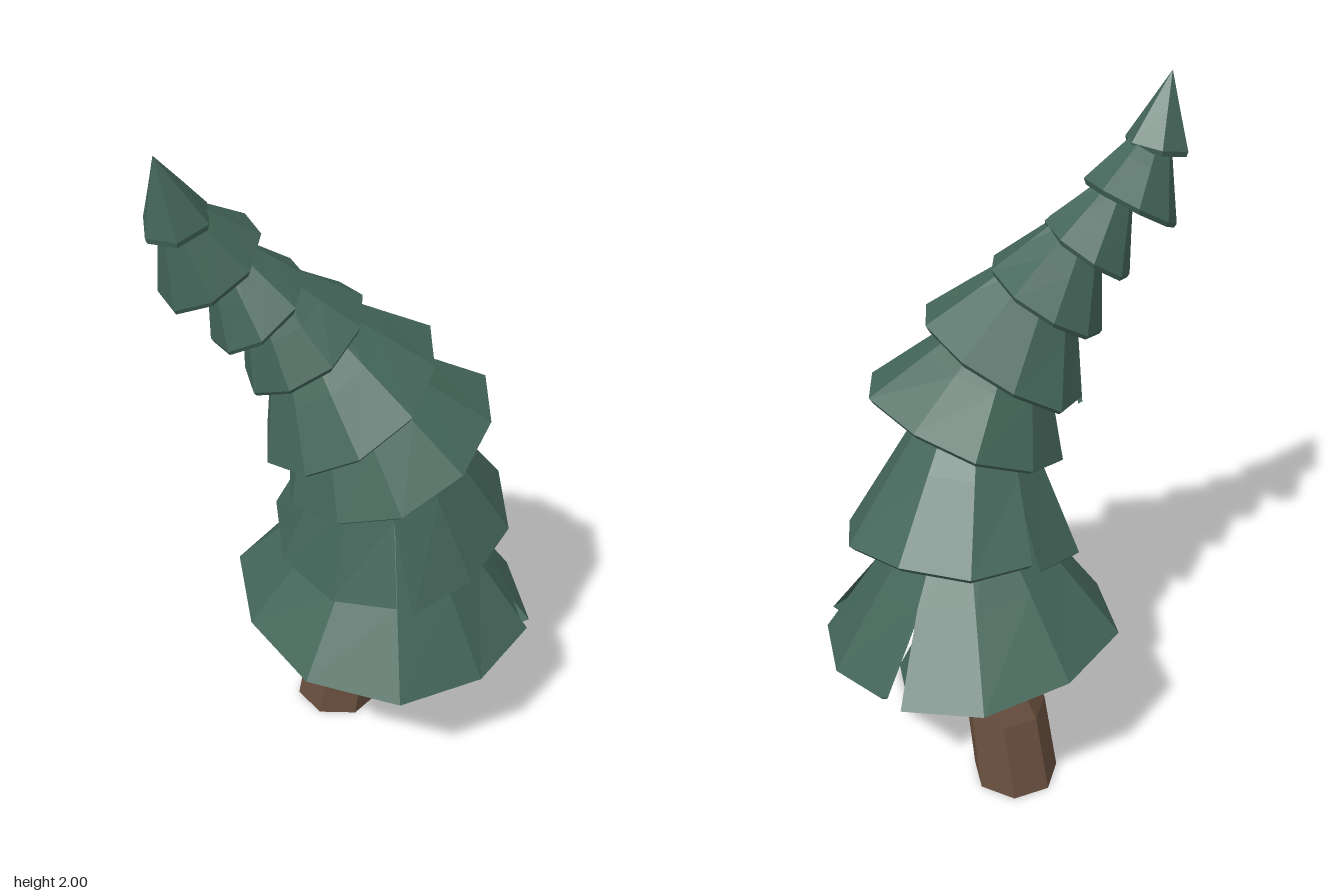
import * as THREE from 'three';

const green = new THREE.MeshStandardMaterial({ color: 0x44665a, flatShading: true, side: THREE.DoubleSide });
const brown = new THREE.MeshStandardMaterial({ color: 0x6b5140, flatShading: true });

// Non-indexed mesh from a list of quads, each four Vector3 counter-clockwise
function quadMesh(name, quads, material) {
  const pts = [];
  for (const [a, b, c, d] of quads) pts.push(a, b, c, a, c, d);
  const geometry = new THREE.BufferGeometry().setFromPoints(pts);
  geometry.computeVertexNormals();
  const mesh = new THREE.Mesh(geometry, material);
  mesh.name = name;
  return mesh;
}

// Skirt of branches: a thin tilted cone, split at the rim along the given seams
function makeTier({ top, rt, rim, rx, rz, sx, sz, n, seams = [] }, index) {
  // Rings from the top, over the rim, and back up the inside: [t, scale, drop, seam gap]
  const rings = [[0, 1, 0, 0], [0.5, 1, 0, 0], [1, 1, 0, 1], [1, 0.95, 0.015, 1], [0.5, 0.93, 0.012, 0], [0, 0.9, 0.01, 0]];
  const point = ([t, s, drop, gap], i, side) => {
    const k = i % n;
    const open = seams.includes(k) ? gap * side * 0.07 : 0;
    const a = -Math.PI / 2 + (i / n) * Math.PI * 2 + open;
    const jag = 1 + 0.03 * Math.sin(k * 2.4 + index) * t;
    const dx = Math.cos(a) * THREE.MathUtils.lerp(rt, rx, t) * s * jag;
    const dz = Math.sin(a) * THREE.MathUtils.lerp(rt, rz, t) * s * jag;
    const c = new THREE.Vector3(...top).lerp(new THREE.Vector3(...rim), t);
    const lift = open > 0 ? 0.025 : 0;
    return new THREE.Vector3(c.x + dx, c.y + sx * dx + sz * dz - drop + lift, c.z + dz);
  };
  const quads = [];
  for (let i = 0; i < n; i++) {
    for (let j = 0; j < rings.length - 1; j++) {
      const up = rings[j], low = rings[j + 1];
      quads.push([point(low, i + 1, -1), point(low, i, 1), point(up, i, 1), point(up, i + 1, -1)]);
    }
  }
  return quadMesh('branchTier' + (index + 1), quads, green);
}

// Bent trunk: [x, y, z, radius] rings from the ground up, flat at the base
function makeTrunk() {
  const rings = [
    [-0.03, 0, -0.105, 0.125], [0.0, 0.25, -0.085, 0.118], [0.06, 0.42, -0.05, 0.1],
    [0.1, 0.78, 0.04, 0.075], [0.09, 1.0, 0.09, 0.068], [0.04, 1.2, 0.14, 0.06],
    [-0.06, 1.4, 0.165, 0.05], [-0.18, 1.55, 0.185, 0.038], [-0.33, 1.72, 0.2, 0.025], [-0.44, 1.9, 0.26, 0.005],
  ];
  const n = 7;
  const point = ([x, y, z, r], i) => {
    const a = ((i % n) / n) * Math.PI * 2 + 0.35;
    return new THREE.Vector3(x + r * Math.cos(a), y, z + r * Math.sin(a));
  };
  const quads = [];
  for (let i = 0; i < n; i++) {
    for (let j = 0; j < rings.length - 1; j++) {
      quads.push([point(rings[j], i + 1), point(rings[j], i), point(rings[j + 1], i), point(rings[j + 1], i + 1)]);
    }
    // Base cap
    const c = new THREE.Vector3(...rings[0].slice(0, 3));
    quads.push([c, point(rings[0], i), point(rings[0], i + 1), c]);
  }
  return quadMesh('trunk', quads, brown);
}

// Small broken twig between two points
function makeTwig(from, to, r) {
  const a = new THREE.Vector3(...from), b = new THREE.Vector3(...to);
  const dir = b.clone().sub(a);
  const mesh = new THREE.Mesh(new THREE.ConeGeometry(r, dir.length(), 4), brown);
  mesh.position.copy(a).add(b).multiplyScalar(0.5);
  mesh.quaternion.setFromUnitVectors(new THREE.Vector3(0, 1, 0), dir.normalize());
  mesh.name = 'twig';
  return mesh;
}

export function createModel() {
  const group = new THREE.Group();
  group.name = 'leaningPine';
  group.add(makeTrunk());
  group.add(makeTwig([0.07, 0.24, -0.01], [0.11, 0.225, 0.05], 0.01));
  group.add(makeTwig([0.1, 0.23, 0.04], [0.155, 0.245, 0.06], 0.006));
  group.add(makeTwig([0.1, 0.23, 0.04], [0.08, 0.24, 0.105], 0.006));

  // Tiers from the ground up: top centre and radius, rim centre and radii, rim slopes
  const tiers = [
    { top: [0.08, 0.6, -0.01], rt: 0.1, rim: [0.07, 0.36, -0.035], rx: 0.235, rz: 0.245, sx: -0.2, sz: -0.12, n: 10 },
    { top: [0.1, 0.9, 0.05], rt: 0.11, rim: [0.09, 0.47, 0], rx: 0.415, rz: 0.425, sx: -0.1, sz: -0.08, n: 10, seams: [1, 3] },
    { top: [0.06, 1.23, 0.11], rt: 0.09, rim: [0.11, 0.77, 0.025], rx: 0.325, rz: 0.315, sx: 0.1, sz: -0.26, n: 10, seams: [5, 9] },
    { top: [-0.04, 1.38, 0.16], rt: 0.08, rim: [0.085, 1.1, 0.125], rx: 0.27, rz: 0.29, sx: 0.43, sz: -0.1, n: 10 },
    { top: [-0.14, 1.52, 0.17], rt: 0.07, rim: [-0.02, 1.27, 0.155], rx: 0.22, rz: 0.26, sx: 0.62, sz: -0.08, n: 10, seams: [8] },
    { top: [-0.23, 1.63, 0.185], rt: 0.05, rim: [-0.13, 1.44, 0.155], rx: 0.15, rz: 0.185, sx: 0.65, sz: -0.05, n: 9 },
    { top: [-0.32, 1.72, 0.2], rt: 0.04, rim: [-0.24, 1.56, 0.19], rx: 0.115, rz: 0.14, sx: 0.7, sz: -0.1, n: 8 },
    { top: [-0.43, 1.86, 0.25], rt: 0.03, rim: [-0.35, 1.685, 0.19], rx: 0.125, rz: 0.135, sx: 0.55, sz: -0.25, n: 8 },
    { top: [-0.46, 2.0, 0.275], rt: 0, rim: [-0.42, 1.82, 0.235], rx: 0.085, rz: 0.085, sx: 0.2, sz: -0.15, n: 6 },
  ];
  tiers.forEach((tier, i) => group.add(makeTier(tier, i)));
  return group;
}
